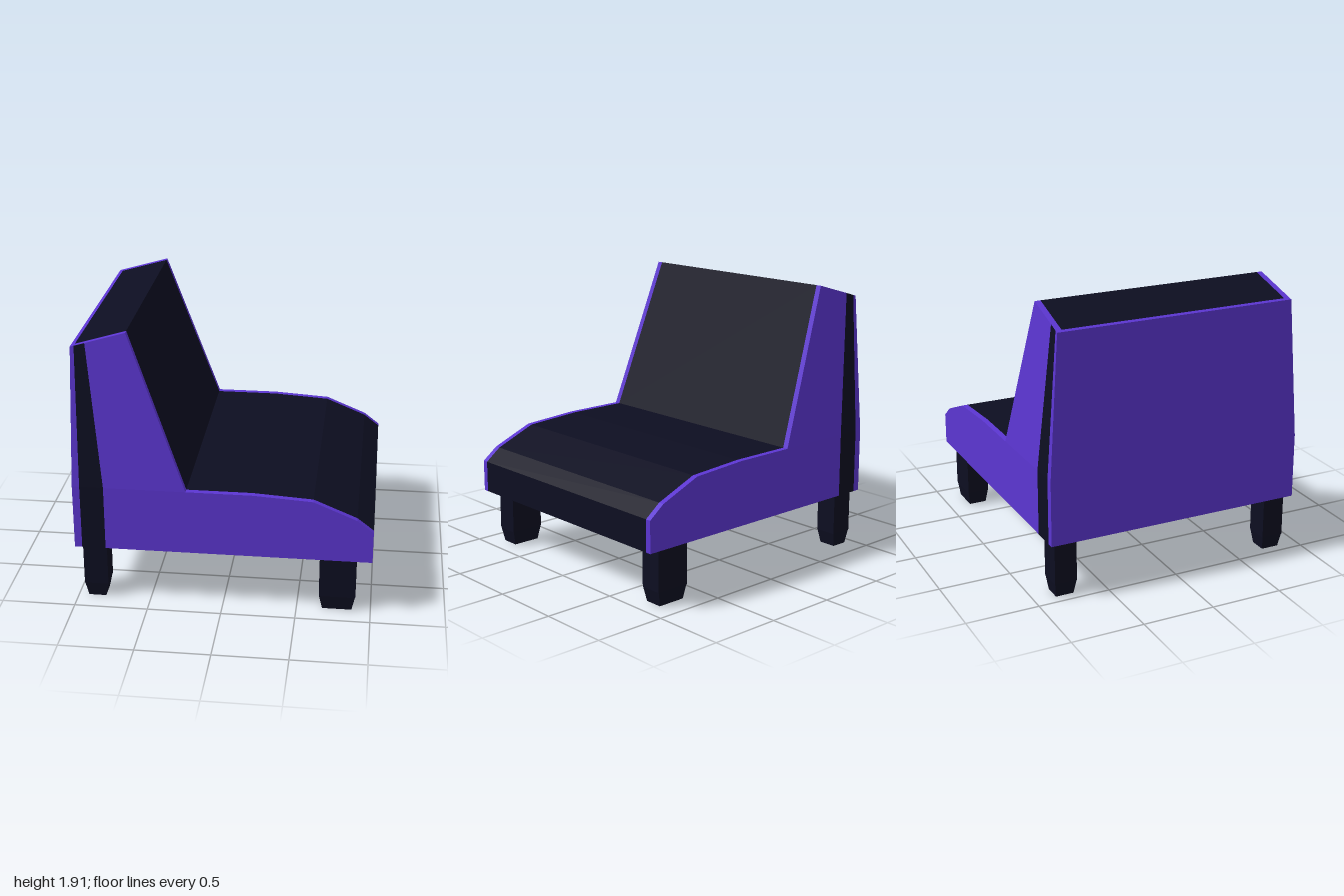
import * as THREE from 'three';

export function createModel() {
  const shell = new THREE.MeshStandardMaterial({ color: 0x5c36d2 });
  shell.name = 'purple shell';
  const fabric = new THREE.MeshStandardMaterial({ color: 0x0d0e21 });
  fabric.name = 'dark upholstery';

  const model = new THREE.Group();
  model.name = 'armlessChair';

  // Half width: straight up to the seat, then leaning inwards
  const seatY = 0.85;
  const halfWidth = (y) => 0.905 - Math.max(0, y - seatY) * 0.0704;
  const band = 0.04;

  // Mesh of flat convex faces, each a loop of [x, y, z] corners
  function addFaces(name, faces, material) {
    const pos = [];
    for (const f of faces) {
      for (let i = 1; i < f.length - 1; i++) pos.push(...f[0], ...f[i], ...f[i + 1]);
    }
    const g = new THREE.BufferGeometry();
    g.setAttribute('position', new THREE.Float32BufferAttribute(pos, 3));
    g.computeVertexNormals();
    const mesh = new THREE.Mesh(g, material);
    mesh.name = name;
    model.add(mesh);
  }

  // Face across the chair between two profile points, from -s to +s or an edge band
  const at = (p, inset, side) => [p[0], p[1], side * (halfWidth(p[1]) - inset)];
  const across = (a, b, inset) =>
    [at(a, inset, 1), at(a, inset, -1), at(b, inset, -1), at(b, inset, 1)];
  const edgeBands = (a, b) => [
    [at(a, 0, 1), at(a, band, 1), at(b, band, 1), at(b, 0, 1)],
    [at(a, band, -1), at(a, 0, -1), at(b, 0, -1), at(b, band, -1)],
  ];

  // Side profile of the upholstered front, bottom front to top back
  const cushion = [[1, 0.4], [1, 0.62], [0.89, 0.705], [0.6, 0.825], [0.2, seatY],
    [-0.24, seatY], [-0.62, 1.915], [-0.955, 1.817]];
  const back = [[-0.955, 1.817], [-0.98, 1.81], [-1, seatY], [-1, 0.4]];
  const pairs = (line, fn) => line.slice(1).map((p, i) => fn(line[i], p));

  addFaces('cushion', pairs(cushion, (a, b) => across(a, b, band)), fabric);
  addFaces('cushionPiping', pairs(cushion, edgeBands).flat(), shell);
  addFaces('backPanel', pairs(back, (a, b) => across(a, b, 0)), shell);
  addFaces('underside', [across([-1, 0.4], [1, 0.4], 0)], fabric);

  // Side panels, with the dark post running up into the back
  const purpleSide = [
    [[-1, 0.4], [-0.95, 0.4], [-0.95, seatY], [-1, seatY]],
    [[-1, seatY], [-0.95, seatY], [-0.955, 1.817], [-0.98, 1.81]],
    [[-0.79, 0.4], ...cushion.slice(0, 6), [-0.79, seatY]],
    [[-0.79, seatY], [-0.24, seatY], [-0.62, 1.915], [-0.885, 1.838]],
  ];
  const postSide = [
    [[-0.95, 0.4], [-0.79, 0.4], [-0.79, seatY], [-0.95, seatY]],
    [[-0.95, seatY], [-0.79, seatY], [-0.885, 1.838], [-0.955, 1.817]],
  ];
  for (const [label, side] of [['left', 1], ['right', -1]]) {
    const place = (loops) => loops.map((loop) => {
      const f = loop.map((p) => at(p, 0, side));
      return side > 0 ? f : f.reverse();
    });
    addFaces(label + 'SidePanel', place(purpleSide), shell);
    addFaces(label + 'BackPost', place(postSide), fabric);
  }

  // Square legs with tapered feet
  function addLeg(name, x, z, width, depth) {
    const leg = new THREE.Group();
    leg.name = name;
    const shaft = new THREE.Mesh(new THREE.BoxGeometry(width, 0.31, depth), fabric);
    shaft.name = 'legShaft';
    shaft.position.y = 0.255;
    const footGeo = new THREE.BoxGeometry(width, 0.11, depth);
    const p = footGeo.attributes.position;
    for (let i = 0; i < p.count; i++) {
      if (p.getY(i) < 0) {
        p.setX(i, p.getX(i) - Math.sign(p.getX(i)) * 0.023);
        p.setZ(i, p.getZ(i) - Math.sign(p.getZ(i)) * 0.015);
      }
    }
    footGeo.computeVertexNormals();
    const foot = new THREE.Mesh(footGeo, fabric);
    foot.name = 'legFoot';
    foot.position.y = 0.055;
    leg.add(shaft, foot);
    leg.position.set(x, 0, z);
    model.add(leg);
  }
  for (const s of [1, -1]) {
    addLeg('backLeg', -0.872, s * 0.788, 0.164, 0.155);
    addLeg('frontLeg', 0.773, s * 0.788, 0.245, 0.155);
  }
  return model;
}
